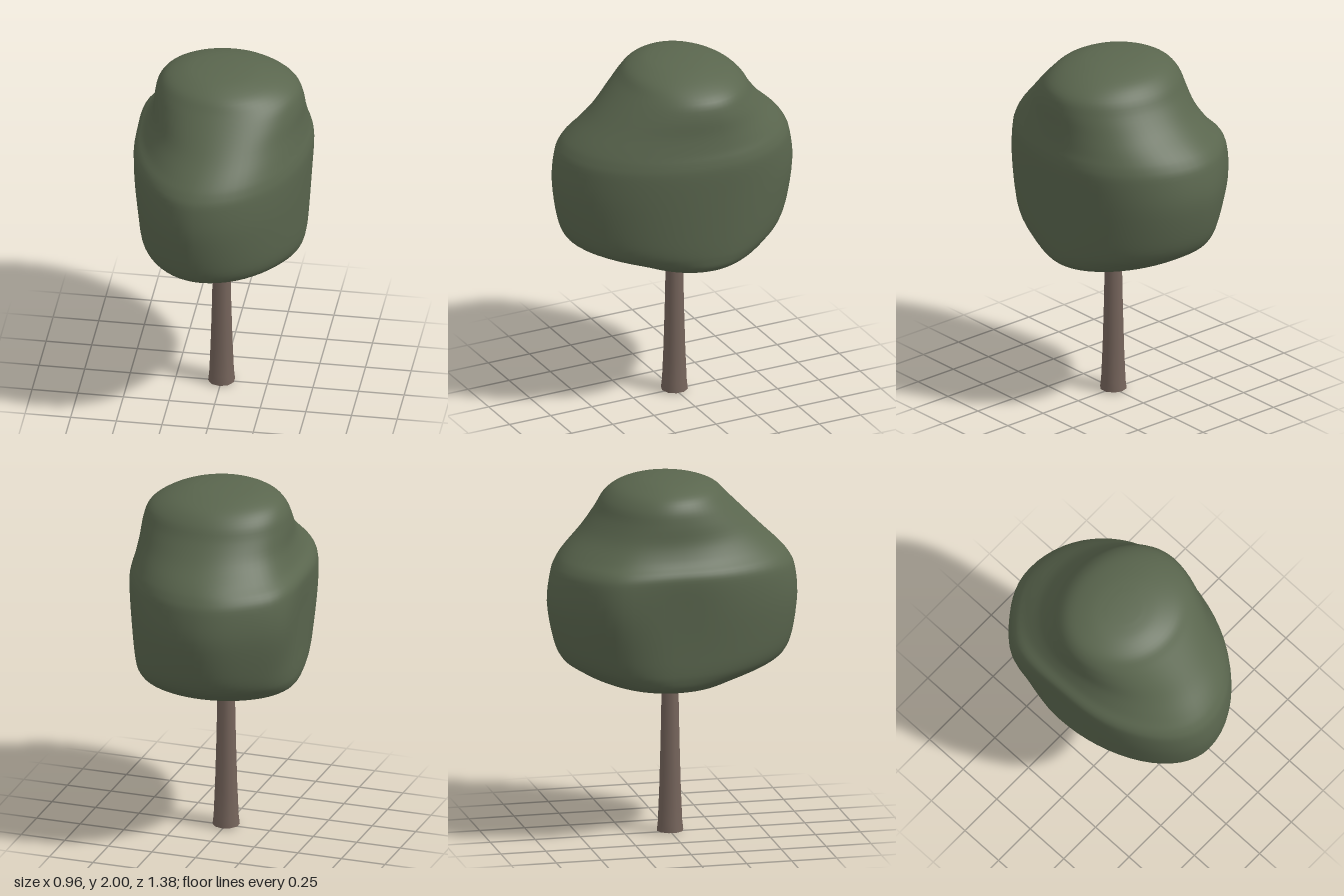
import * as THREE from 'three';
import { toCreasedNormals } from 'three/addons/utils/BufferGeometryUtils.js';

// Crown levels: y, right x, left x, back z, front z, centre x, centre z
const LEVELS = [
  [0.90, -0.10, 0.12, -0.10, 0.08, 0, -0.02],
  [0.865, -0.24, 0.31, -0.25, 0.20, 0.01, -0.03],
  [0.865, -0.34, 0.39, -0.33, 0.28, 0.01, -0.04],
  [0.90, -0.41, 0.435, -0.43, 0.38, 0, -0.06],
  [0.95, -0.435, 0.45, -0.52, 0.53, -0.02, -0.08],
  [1.01, -0.445, 0.457, -0.60, 0.62, -0.03, -0.08],
  [1.12, -0.455, 0.465, -0.65, 0.665, -0.04, -0.08],
  [1.32, -0.475, 0.478, -0.685, 0.69, -0.05, -0.08],
  [1.48, -0.485, 0.487, -0.665, 0.675, -0.05, -0.09],
  [1.55, -0.475, 0.48, -0.635, 0.645, -0.04, -0.09],
  [1.61, -0.425, 0.465, -0.585, 0.595, -0.02, -0.08],
  [1.70, -0.385, 0.45, -0.49, 0.50, 0.01, -0.07],
  [1.80, -0.37, 0.44, -0.41, 0.40, 0.02, -0.05],
  [1.88, -0.35, 0.41, -0.36, 0.32, 0.02, -0.04],
  [1.94, -0.30, 0.32, -0.29, 0.26, 0.02, -0.03],
  [1.98, -0.20, 0.20, -0.18, 0.17, 0, -0.02],
  [1.995, -0.09, 0.09, -0.08, 0.08, 0, -0.01],
];

// Smoothly interpolates one level between the listed ones
function levelAt(t) {
  const i = Math.min(Math.floor(t), LEVELS.length - 2), f = t - i;
  const row = (k) => LEVELS[THREE.MathUtils.clamp(k, 0, LEVELS.length - 1)];
  const [a, b, c, d] = [row(i - 1), row(i), row(i + 1), row(i + 2)];
  return b.map((v, k) => v + 0.5 * f * (c[k] - a[k]
    + f * (2 * a[k] - 5 * v + 4 * c[k] - d[k] + f * (3 * (v - c[k]) + d[k] - a[k]))));
}

// Loft of egg-shaped rings, closed with a pole at each end
function crownGeometry(sides = 64, steps = 4) {
  const rings = (LEVELS.length - 1) * steps + 1;
  const positions = [], index = [];
  for (let r = 0; r < rings; r++) {
    const [y, x0, x1, z0, z1, cx, cz] = levelAt(r / steps);
    // Shoulder bulge at the right rear, with a dip just ahead of it
    const bulge = Math.exp(-(((y - 1.35) / 0.28) ** 2));
    for (let s = 0; s < sides; s++) {
      const a = (s / sides) * Math.PI * 2, c = Math.cos(a), n = Math.sin(a);
      const swell = Math.exp(-(((a - 3.75) / 0.3) ** 2));
      const dip = Math.exp(-(((a - 3.1) / 0.25) ** 2));
      positions.push(
        cx + c * (c > 0 ? x1 - cx : cx - x0) + bulge * (0.018 * dip - 0.045 * swell),
        y,
        cz + n * (n > 0 ? z1 - cz : cz - z0),
      );
    }
  }
  for (let r = 0; r < rings - 1; r++) {
    for (let s = 0; s < sides; s++) {
      const a = r * sides + s, b = r * sides + (s + 1) % sides;
      index.push(a, a + sides, b, b, a + sides, b + sides);
    }
  }
  const bottom = rings * sides, top = bottom + 1, last = (rings - 1) * sides;
  positions.push(0, 0.905, -0.02, 0, 2, 0);
  for (let s = 0; s < sides; s++) {
    const n = (s + 1) % sides;
    index.push(bottom, s, n, top, last + n, last + s);
  }
  const geometry = new THREE.BufferGeometry();
  geometry.setAttribute('position', new THREE.Float32BufferAttribute(positions, 3));
  geometry.setIndex(index);
  geometry.computeVertexNormals();
  return geometry;
}

// Flared, closed trunk
function trunkGeometry() {
  const profile = [[0, 0], [0.074, 0.008], [0.068, 0.06], [0.06, 0.25],
    [0.053, 0.5], [0.047, 0.8], [0.045, 0.96], [0, 0.96]];
  const lathe = new THREE.LatheGeometry(profile.map((p) => new THREE.Vector2(...p)), 10);
  return toCreasedNormals(lathe, 0.9);
}

export function createModel() {
  const group = new THREE.Group();
  group.name = 'tree';
  const add = (name, geometry, color) => {
    const mesh = new THREE.Mesh(geometry, new THREE.MeshStandardMaterial({ color }));
    mesh.name = name;
    group.add(mesh);
  };
  add('trunk', trunkGeometry(), 0x75645b);
  add('crown', crownGeometry(), 0x5a664e);
  return group;
}
